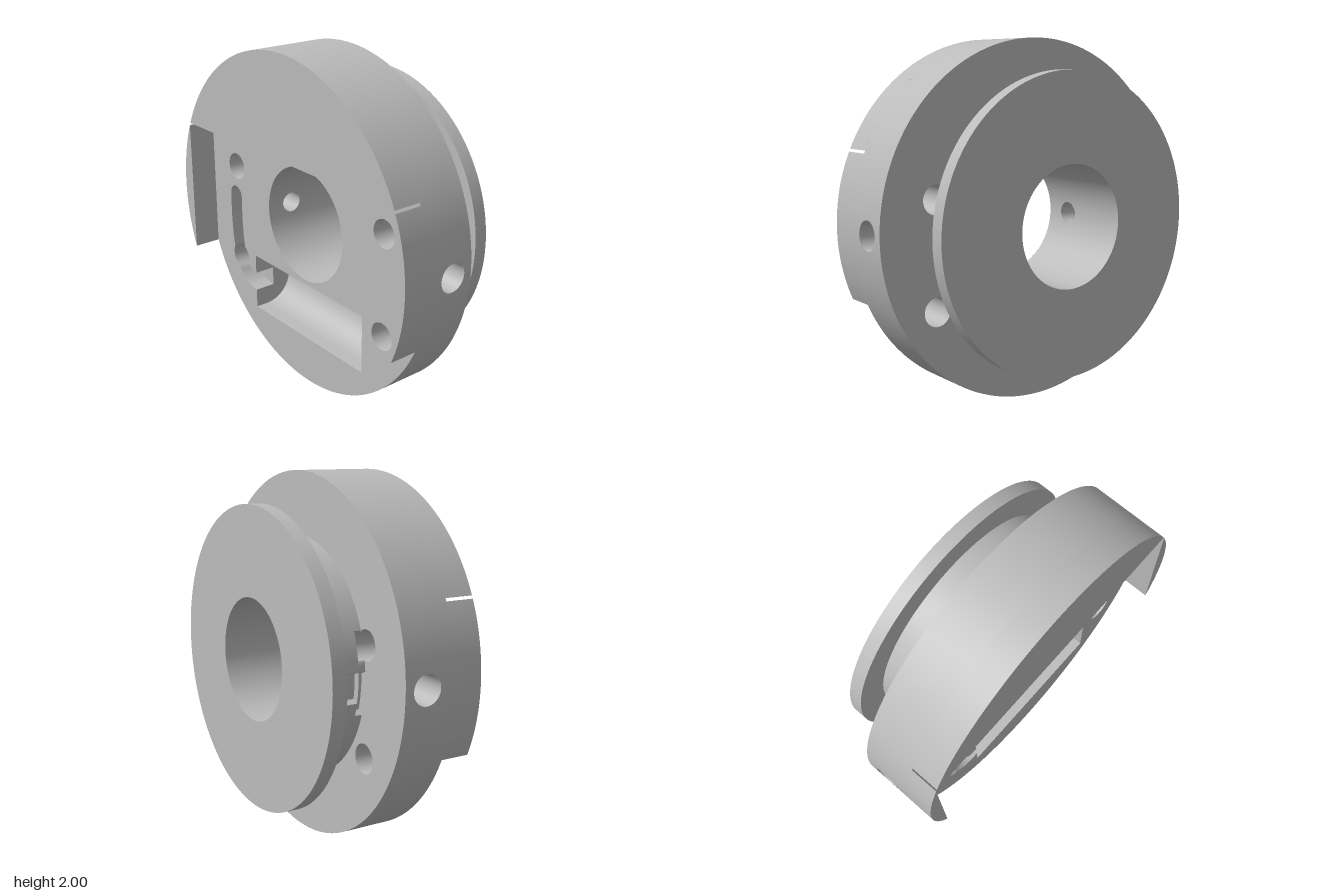
import * as THREE from 'three';
import { toCreasedNormals, mergeGeometries } from 'three/addons/utils/BufferGeometryUtils.js';

// Local frame: z runs along the disc axis (front positive), x and y lie in the disc.
const FRONT = 0.303, FLOOR = 0.14, SLOT = 0.013, POCKET = -0.11, BACK = -0.15;
const FLANGE = -0.364, END = -0.444;
const R = 1, HUB = 0.66, FLANGE_R = 0.83, BORE = 0.3375, HOLE = 0.08;
const PORT_Z = -0.022;

const V = (x, y) => new THREE.Vector2(x, y);

function arc(r, a0, a1, n = 96, cx = 0, cy = 0) {
  return Array.from({ length: n + 1 }, (_, i) => {
    const a = a0 + (a1 - a0) * i / n;
    return V(cx + r * Math.cos(a), cy + r * Math.sin(a));
  });
}
const circle = (r, cx = 0, cy = 0, n = 96) => arc(r, 0, Math.PI * 2, n, cx, cy);

// Open wall that follows a path in x, y between two depths
function wall(points, z0, z1) {
  const pos = [];
  for (let i = 0; i < points.length - 1; i++) {
    const a = points[i], b = points[i + 1];
    pos.push(a.x, a.y, z1, b.x, b.y, z1, b.x, b.y, z0, a.x, a.y, z1, b.x, b.y, z0, a.x, a.y, z0);
  }
  const g = new THREE.BufferGeometry();
  g.setAttribute('position', new THREE.Float32BufferAttribute(pos, 3));
  return toCreasedNormals(g, 0.5);
}

// Flat face at one depth, with cut-outs
function face(outline, holes, z) {
  const s = new THREE.Shape(outline);
  holes.forEach(h => s.holes.push(new THREE.Path(h)));
  return strip(new THREE.ShapeGeometry(s).translate(0, 0, z));
}

function strip(g) {
  const out = g.index ? g.toNonIndexed() : g;
  out.deleteAttribute('uv');
  return out;
}

// Cylinder wall with a round port on each side
function portedWall(r, z0, z1, portR, half) {
  const parts = [];
  for (const mid of [0, Math.PI]) {
    parts.push(wall(arc(r, mid + half, mid + Math.PI - half, 80), z0, z1));
    const n = 10, edge = [];
    for (let i = 0; i <= n; i++) edge.push(V(-half + 2 * half * i / n, z0));
    for (let i = 0; i <= n; i++) edge.push(V(half - 2 * half * i / n, z1));
    const port = circle(portR, 0, 0, 40).map(p => V(Math.asin(p.x / r), PORT_Z + p.y));
    const g = face(edge, [port.slice(0, -1)], 0);
    const p = g.attributes.position, nor = g.attributes.normal;
    for (let i = 0; i < p.count; i++) {
      const a = p.getX(i) + mid, z = p.getY(i);
      p.setXYZ(i, r * Math.cos(a), r * Math.sin(a), z);
      nor.setXYZ(i, Math.cos(a), Math.sin(a), 0);
    }
    // Bending (angle, z) onto the cylinder keeps the face pointing outward
    parts.push(g);
  }
  return mergeGeometries(parts);
}

export function createModel() {
  const steel = new THREE.MeshStandardMaterial({ color: 0xbcbcbc, side: THREE.DoubleSide });
  steel.name = 'plain grey';
  const body = new THREE.Group();
  body.name = 'clampHub';
  const add = (name, ...geos) => {
    const m = new THREE.Mesh(geos.length > 1 ? mergeGeometries(geos) : geos[0], steel);
    m.name = name;
    body.add(m);
    return m;
  };

  // Raised front: upper cap and two side ears, cut from the disc by chords
  const raised = (name, a0, a1) => {
    const g = new THREE.ExtrudeGeometry(new THREE.Shape(arc(R, a0, a1, 64)),
      { depth: FRONT - FLOOR, bevelEnabled: false }).translate(0, 0, FLOOR);
    add(name, toCreasedNormals(strip(g), 0.5));
  };
  const capA = Math.asin(0.415), earA = Math.asin(0.4);
  raised('upperCap', capA, Math.PI - capA);
  raised('leftEar', -earA, earA);
  raised('rightEar', Math.PI - earA, Math.PI + earA);

  // Curved slot, widened where it crosses a bolt hole
  const bolts = [[-0.665, 0.17], [0.665, 0.17], [0.665, -0.42], [-0.655, -0.42]];
  const slotHole = bolts[3];
  const path = new THREE.CatmullRomCurve3([[-0.683, -0.02], [-0.682, -0.2], [-0.665, -0.35],
    [-0.625, -0.465], [-0.56, -0.527], [-0.493, -0.54]].map(p => new THREE.Vector3(p[0], p[1], 0)));
  const outer = [], inner = [], N = 50;
  for (let i = 0; i <= N; i++) {
    const p = path.getPointAt(i / N), t = path.getTangentAt(i / N);
    if (i === N) t.set(1, 0, 0);
    const d2 = (p.x - slotHole[0]) ** 2 + (p.y - slotHole[1]) ** 2;
    const w = Math.max(0.058, Math.sqrt(Math.max(0, 0.083 ** 2 - d2)));
    inner.push(V(p.x - t.y * w, p.y + t.x * w));
    outer.push(V(p.x + t.y * w, p.y - t.x * w));
  }
  const slotCap = arc(0.058, 0, Math.PI, 16, -0.683, -0.02).slice(1, -1);
  const slotLine = [...inner.slice().reverse(), ...slotCap, ...outer];

  // Pocket outline starts and ends at the mouth of the slot
  const px0 = -0.493, px1 = 0.507, py = -0.54, pr = 0.175;
  const pocketLine = [outer[N], V(px0, py - pr), V(px1, py - pr), V(px1, py + pr), V(px0, py + pr), inner[N]];
  const floorCut = [...slotLine, ...pocketLine.slice(1, -1)];

  // Main disc
  const boltRings = bolts.map(b => circle(HOLE, b[0], b[1], 40).slice(0, -1));
  const bore = circle(BORE).slice(0, -1);
  const rim = circle(R, 0, 0, 160).slice(0, -1);
  add('discFloor', face(rim, [bore, floorCut, ...boltRings.slice(0, 3)], FLOOR));
  add('discBack', face(rim, [circle(0.5).slice(0, -1), ...boltRings], BACK));
  add('discRim', portedWall(R, BACK, FLOOR, HOLE, 0.12));
  add('boreWall', portedWall(BORE, END, FLOOR, 0.06, 0.26));
  bolts.forEach((b, i) => add('boltHole', wall(circle(HOLE, b[0], b[1], 40), BACK, i === 3 ? SLOT : FLOOR)));

  // Slot and round-bottomed pocket
  add('curvedSlot', wall(slotLine, SLOT, FLOOR), face(slotLine, [boltRings[3]], SLOT));
  add('pocketWalls', wall(pocketLine, POCKET, FLOOR), wall([inner[N], outer[N]], POCKET, SLOT));
  const trough = wall(arc(pr, Math.PI, Math.PI * 2, 32), px0, px1);
  trough.rotateY(Math.PI / 2).rotateX(Math.PI / 2);
  // After turning, the arc spans y and its low point must face the back
  const tp = trough.attributes.position;
  trough.computeBoundingBox();
  const across = arc(pr, Math.PI, Math.PI * 2, 32), tri = [];
  for (let i = 0; i < across.length - 1; i++) {
    const a = across[i], b = across[i + 1];
    const A = [py + a.x, FLOOR - 0.075 + a.y], B = [py + b.x, FLOOR - 0.075 + b.y];
    tri.push(px0, ...A, px1, ...A, px1, ...B, px0, ...A, px1, ...B, px0, ...B);
  }
  trough.setAttribute('position', new THREE.Float32BufferAttribute(tri, 3));
  trough.deleteAttribute('normal');
  add('pocketTrough', toCreasedNormals(trough, 0.5));

  // Stepped radial ports from rim to bore
  for (const s of [-1, 1]) {
    const tube = (r, x0, x1) => strip(new THREE.CylinderGeometry(r, r, x1 - x0, 40, 1, true)
      .rotateZ(Math.PI / 2).translate(s * (x0 + x1) / 2, 0, PORT_Z));
    const step = strip(new THREE.RingGeometry(0.06, HOLE, 40).rotateY(Math.PI / 2).translate(s * 0.76, 0, PORT_Z));
    add('radialPort', tube(HOLE, 0.76, 0.997), tube(0.06, 0.334, 0.76), step);
  }

  // Hub neck, notched by the upper bolt holes and by one side relief
  const neck = (notched, relief) => circle(HUB, 0, 0, 360).map(p => {
    const a = Math.atan2(p.y, p.x);
    let r = HUB;
    if (notched) for (const b of bolts.slice(0, 2)) {
      const D = Math.hypot(...b), d = a - Math.atan2(b[1], b[0]);
      const q = HOLE ** 2 - (D * Math.sin(d)) ** 2;
      if (q > 0 && Math.cos(d) > 0) r = Math.min(r, D * Math.cos(d) - Math.sqrt(q));
    }
    if (relief && p.x < 0 && p.y < 0.03 && p.y > relief) r = Math.min(r, 0.625);
    return V(r * Math.cos(a), r * Math.sin(a));
  });
  const ring = (r0, r1, z) => face(circle(r1, 0, 0, 160).slice(0, -1), [circle(r0).slice(0, -1)], z);
  add('hubNeck', wall(neck(true, -0.19), -0.19, BACK), wall(neck(false, -0.12), -0.25, -0.19),
    wall(neck(false, 0), FLANGE, -0.25), ring(0.55, HUB, -0.19).clone(), ring(0.55, HUB, -0.25));

  // Rear flange
  add('rearFlange', ring(0.6, FLANGE_R, FLANGE), ring(BORE, FLANGE_R, END),
    wall(circle(FLANGE_R, 0, 0, 160), END, FLANGE));

  body.rotation.y = -Math.PI / 3;
  body.position.set(-0.0225, 1, -0.039);
  const model = new THREE.Group();
  model.name = 'model';
  model.add(body);
  return model;
}
